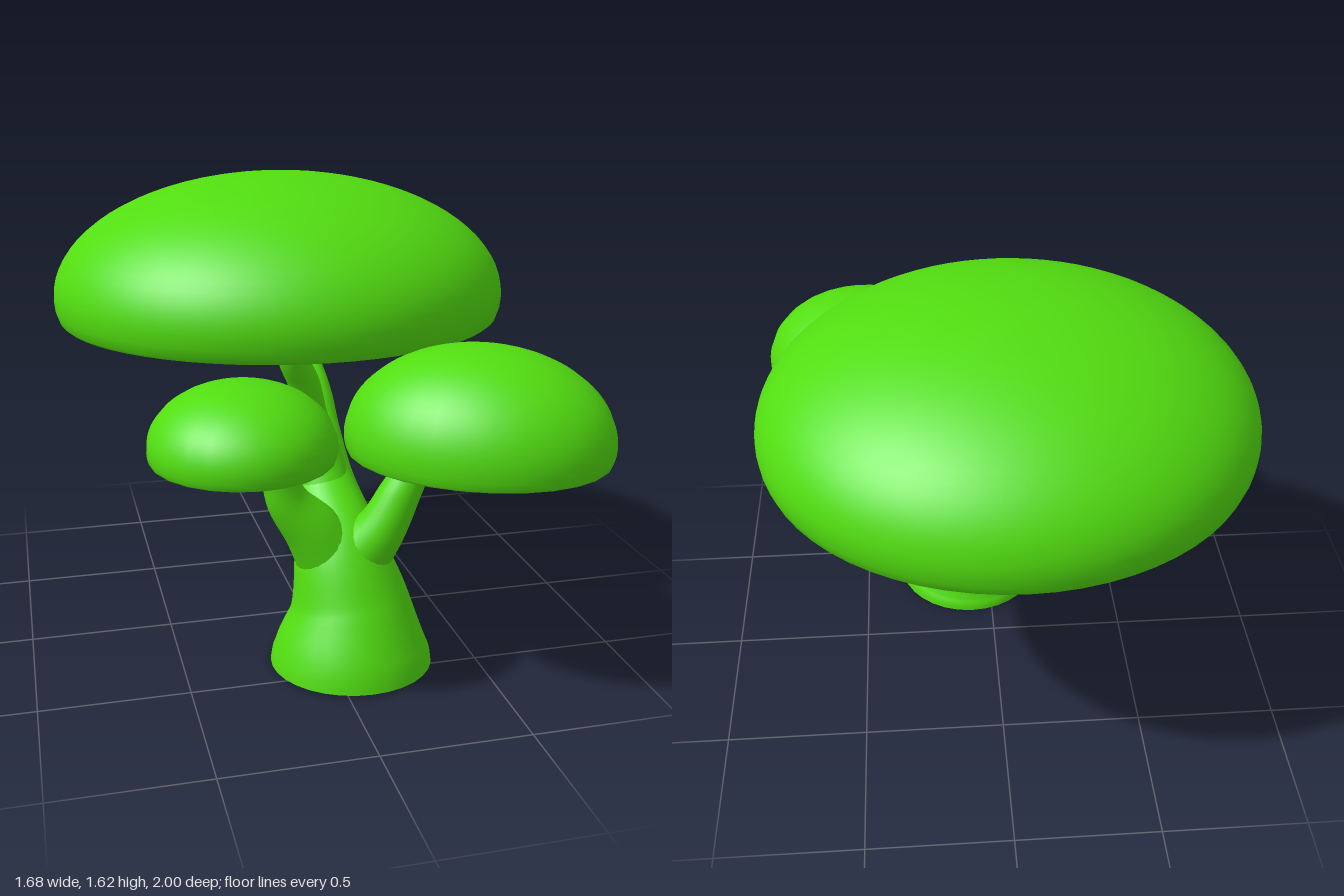
import * as THREE from 'three';
import { mergeVertices } from 'three/addons/utils/BufferGeometryUtils.js';

const green = new THREE.MeshStandardMaterial({ color: 0x52dd10 });

// Tapered limb through points [x, y, z, radius]
function limb(name, pts, sides = 24) {
  const curve = new THREE.CatmullRomCurve3(pts.map(p => new THREE.Vector3(p[0], p[1], p[2])));
  const radii = new THREE.SplineCurve(pts.map(p => new THREE.Vector2(p[3], 0)));
  const steps = pts.length * 8;
  const geo = new THREE.TubeGeometry(curve, steps, 1, sides, false);
  const pos = geo.attributes.position;
  const v = new THREE.Vector3();
  for (let i = 0; i <= steps; i++) {
    const centre = curve.getPointAt(i / steps);
    const r = radii.getPoint(curve.getUtoTmapping(i / steps)).x;
    for (let j = 0; j <= sides; j++) {
      const k = i * (sides + 1) + j;
      v.fromBufferAttribute(pos, k).sub(centre).multiplyScalar(r).add(centre);
      pos.setXYZ(k, v.x, Math.max(v.y, 0), v.z);
    }
  }
  geo.deleteAttribute('uv');
  geo.deleteAttribute('normal');
  const welded = mergeVertices(geo, 1e-5);
  welded.computeVertexNormals();
  const mesh = new THREE.Mesh(welded, green);
  mesh.name = name;
  return mesh;
}

// Flat-bottomed dome of leaves, with its widest ring a little above the base
function crown(name, [x, y, z], [rx, height, rz], turn, sides) {
  const profile = [[0.965, 0], [0.98, 0.02], [0.995, 0.09]].map(p => new THREE.Vector2(...p));
  for (let i = 0; i <= 20; i++) {
    const a = (i / 20) * Math.PI / 2;
    profile.push(new THREE.Vector2(i === 20 ? 0 : Math.cos(a), 0.17 + 0.83 * Math.sin(a)));
  }
  const group = new THREE.Group();
  group.name = name;
  const dome = new THREE.Mesh(new THREE.LatheGeometry(profile, sides), green);
  dome.name = name + 'Dome';
  // The disc's corners line up with the lathe's
  const disc = new THREE.CircleGeometry(0.965, sides, Math.PI / 2).rotateX(Math.PI / 2);
  const under = new THREE.Mesh(disc, green);
  under.name = name + 'Underside';
  group.add(dome, under);
  group.position.set(x, y, z);
  group.scale.set(rx, height, rz);
  group.rotation.y = turn;
  return group;
}

export function createModel() {
  const tree = new THREE.Group();
  tree.name = 'tree';

  // Flared trunk running on into the rear limb
  tree.add(limb('trunk', [
    [0.08, 0, 0.39, 0.28], [0.08, 0.06, 0.388, 0.265], [0.08, 0.2, 0.37, 0.21],
    [0.055, 0.38, 0.32, 0.16], [0.04, 0.56, 0.16, 0.115], [0.05, 0.72, 0.035, 0.08],
    [0.055, 0.83, -0.07, 0.07], [0.055, 0.94, -0.25, 0.06], [0.04, 1.02, -0.32, 0.055],
    [0.035, 1.13, -0.38, 0.05],
  ], 32));
  const base = new THREE.Mesh(new THREE.CircleGeometry(0.28, 32).rotateX(Math.PI / 2), green);
  base.name = 'trunkBase';
  base.position.set(0.08, 0.001, 0.39);
  tree.add(base);

  // Branches
  tree.add(limb('uprightBranch', [
    [0.04, 0.5, 0.22, 0.1], [0.02, 0.66, 0.15, 0.09], [-0.01, 0.8, 0.14, 0.07],
    [-0.04, 0.95, 0.185, 0.055], [-0.085, 1.05, 0.22, 0.052], [-0.09, 1.13, 0.23, 0.06],
  ]));
  tree.add(limb('rightBranch', [
    [0.04, 0.34, 0.34, 0.13], [-0.05, 0.48, 0.36, 0.1], [-0.14, 0.6, 0.37, 0.072],
    [-0.18, 0.72, 0.38, 0.06], [-0.23, 0.79, 0.4, 0.062], [-0.29, 0.85, 0.43, 0.06],
  ]));
  tree.add(limb('leftBranch', [
    [0.07, 0.33, 0.34, 0.13], [0.17, 0.48, 0.41, 0.088], [0.23, 0.6, 0.42, 0.072],
    [0.28, 0.71, 0.42, 0.058], [0.27, 0.84, 0.43, 0.048],
  ]));
  tree.add(limb('leftTwig', [
    [0.26, 0.66, 0.42, 0.05], [0.34, 0.73, 0.45, 0.042],
    [0.4, 0.77, 0.49, 0.04], [0.44, 0.84, 0.52, 0.042],
  ], 16));

  // Crowns
  tree.add(crown('topCrown', [-0.03, 1.1, -0.24], [0.815, 0.515, 0.76], 0, 64));
  tree.add(crown('rightCrown', [-0.32, 0.82, 0.53], [0.3, 0.247, 0.305], 0, 24));
  tree.add(crown('leftCrown', [0.425, 0.805, 0.625], [0.432, 0.357, 0.354], -0.51, 28));
  return tree;
}
